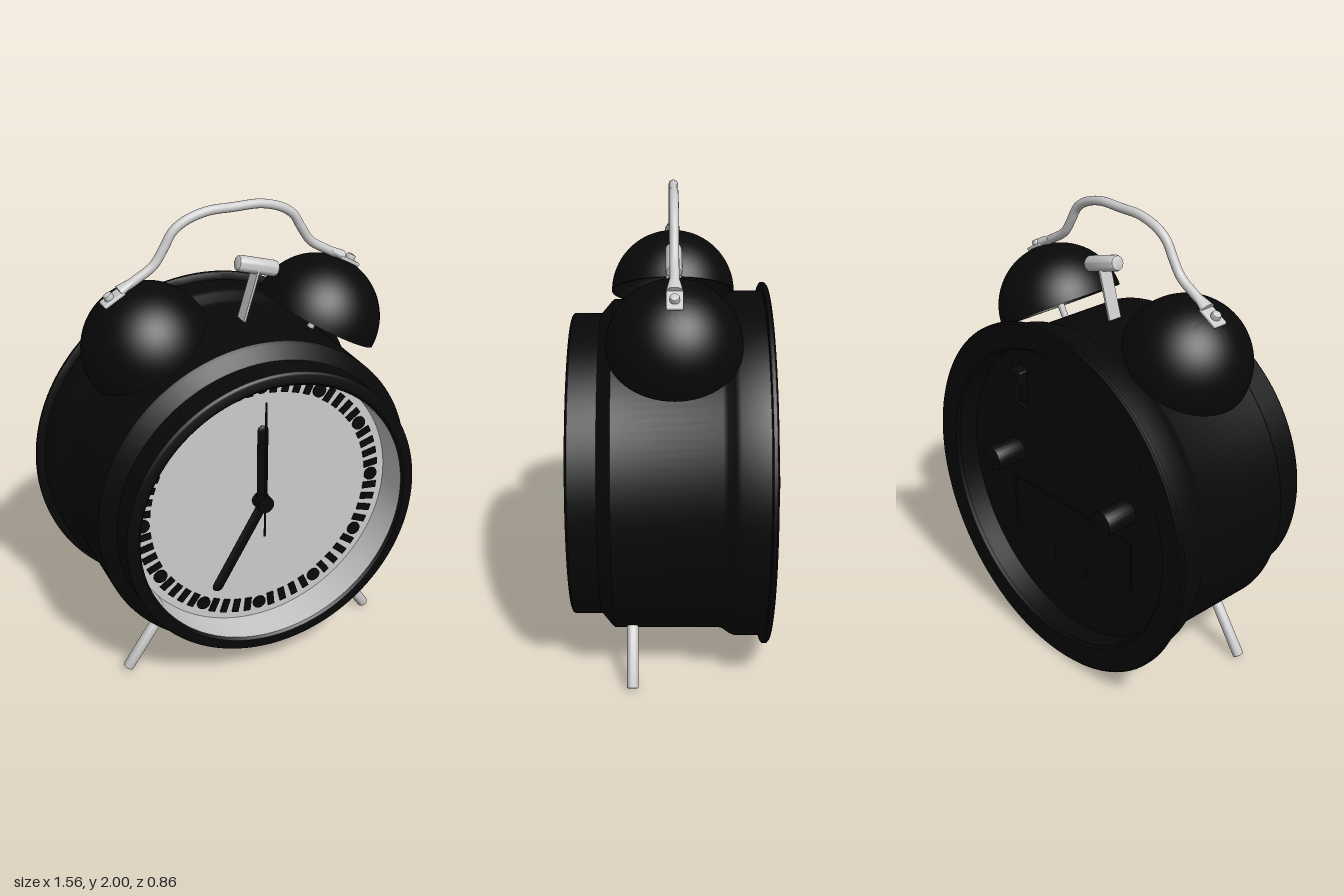
import * as THREE from 'three';
import { toCreasedNormals } from 'three/addons/utils/BufferGeometryUtils.js';
import { RoundedBoxGeometry } from 'three/addons/geometries/RoundedBoxGeometry.js';

const CENTRE_Y = 0.785;
const DIAL_Z = 0.27;
const PANEL_Z = -0.288;

export function createModel() {
  const model = new THREE.Group();
  model.name = 'alarmClock';
  const grey = new THREE.MeshStandardMaterial({ color: 0xcccccc });
  const black = new THREE.MeshStandardMaterial({ color: 0x080808 });

  function add(parent, name, geometry, material, x = 0, y = 0, z = 0, rotZ = 0) {
    const mesh = new THREE.Mesh(geometry, material);
    mesh.name = name;
    mesh.position.set(x, y, z);
    mesh.rotation.z = rotZ;
    parent.add(mesh);
    return mesh;
  }
  const lathe = (pts, segments = 96) => toCreasedNormals(
    new THREE.LatheGeometry(pts.map(([r, h]) => new THREE.Vector2(r, h)), segments), 0.6);
  // Lathe and cylinder turned so that their axis runs along z
  const latheZ = (pts, segments) => lathe(pts, segments).rotateX(Math.PI / 2);
  const discZ = (r, depth, segments = 32) =>
    new THREE.CylinderGeometry(r, r, depth, segments).rotateX(Math.PI / 2);
  // Short rod along y with softly chamfered ends
  const rod = (r, length, bevel = 0.008) => lathe([
    [0, -length / 2], [r - bevel, -length / 2], [r - bevel * 0.3, -length / 2 + bevel * 0.3],
    [r, -length / 2 + bevel], [r, length / 2 - bevel], [r - bevel * 0.3, length / 2 - bevel * 0.3],
    [r - bevel, length / 2], [0, length / 2]], 24);

  // Everything round is placed about the clock's axis
  const clock = new THREE.Group();
  clock.name = 'clock';
  clock.position.y = CENTRE_Y;
  model.add(clock);

  // Case: recessed back, back flange, stepped drum and front rim
  add(clock, 'case', latheZ([
    [0, -0.26], [0.66, -0.26], [0.662, -0.38], [0.672, -0.393], [0.772, -0.395], [0.78, -0.388],
    [0.78, -0.374], [0.774, -0.37], [0.745, -0.37], [0.745, -0.255], [0.737, -0.235], [0.716, -0.205],
    [0.71, -0.185], [0.71, 0.25], [0.7, 0.262], [0.655, 0.3], [0.65, 0.306], [0.65, 0.42],
    [0.645, 0.427], [0.638, 0.43], [0.602, 0.43], [0.592, 0.42]], 128), black);
  add(clock, 'innerWall', latheZ([[0.592, 0.42], [0.592, DIAL_Z]], 128), grey);
  add(clock, 'dial', new THREE.CircleGeometry(0.595, 96), grey, 0, 0, DIAL_Z);

  // Minute marks: a dot every fifth, short bars between
  const dot = discZ(0.03, 0.008);
  const bar = new THREE.BoxGeometry(0.03, 0.064, 0.008);
  for (let i = 0; i < 60; i++) {
    const a = (i / 60) * Math.PI * 2;
    const hour = i % 5 === 0;
    add(clock, hour ? 'hourDot' : 'minuteMark', hour ? dot : bar, black,
      Math.sin(a) * 0.528, Math.cos(a) * 0.528, DIAL_Z + 0.002, -a);
  }

  // Hands, each given by its tail, tip, half width, height and turn
  function hand(name, tail, tip, r, z, angle) {
    const geometry = new THREE.CapsuleGeometry(r, tip - tail - 2 * r, 6, 16);
    geometry.scale(1, 1, 0.4).translate(0, (tip + tail) / 2, 0);
    add(clock, name, geometry, black, 0, 0, z, angle);
  }
  hand('alarmHand', -0.02, 0.18, 0.01, DIAL_Z + 0.01, -0.1);
  hand('shortHand', -0.03, 0.36, 0.025, DIAL_Z + 0.02, 0);
  hand('longHand', -0.03, 0.445, 0.025, DIAL_Z + 0.035, THREE.MathUtils.degToRad(150));
  hand('secondHand', -0.16, 0.48, 0.005, DIAL_Z + 0.05, 0);
  add(clock, 'handHub', discZ(0.037, 0.06), black, 0, 0, DIAL_Z + 0.03);

  // Bell profile: inner dome down to the rim, then outer dome up
  const bellProfile = [];
  for (let i = 0; i <= 24; i++) {
    const a = (i / 24) * Math.PI / 2;
    bellProfile.push([Math.sin(a) * 0.258, Math.cos(a) * 0.258]);
  }
  for (let i = 0; i <= 24; i++) {
    const a = (i / 24) * Math.PI / 2;
    bellProfile.push([Math.cos(a) * 0.27, Math.sin(a) * 0.27]);
  }
  const bell = lathe(bellProfile, 64);
  // Socket flaring from the round handle to the flat tab
  const socket = new THREE.CylinderGeometry(0.02, 0.033, 0.06, 24).scale(0.65, 1, 1);

  for (const side of [-1, 1]) {
    const label = side > 0 ? 'left' : 'right';

    // Bell with its post, handle tab and bolt, along one radial axis
    const arm = new THREE.Group();
    arm.name = label + 'BellGroup';
    arm.rotation.z = -side * Math.PI / 6;
    clock.add(arm);
    add(arm, label + 'Bell', bell, black, 0, 0.762, 0);
    add(arm, label + 'BellPost', rod(0.015, 0.355, 0.003), grey, 0, 0.857, 0);
    add(arm, label + 'HandleTab', new RoundedBoxGeometry(0.1, 0.016, 0.066, 3, 0.007), grey,
      side * 0.002, 1.036, 0);
    add(arm, label + 'HandleSocket', socket, grey, -side * 0.065, 1.043, 0, side * Math.PI / 2);
    add(arm, label + 'Bolt', rod(0.02, 0.03, 0.008), grey, side * 0.012, 1.05, 0);

    // Splayed foot
    const top = new THREE.Vector2(side * 0.425, 0.255);
    const foot = new THREE.Vector2(side * 0.587, 0.016);
    const run = foot.clone().sub(top);
    add(model, label + 'Leg', rod(0.024, run.length(), 0.006), grey,
      (top.x + foot.x) / 2, (top.y + foot.y) / 2, 0.175, Math.atan2(-run.x, run.y));

    // Setting knob on the back
    add(clock, label + 'Knob', rod(0.055, 0.15, 0.008).rotateX(Math.PI / 2), black,
      side * 0.355, 0.07, -0.355);
  }

  // Carrying handle: mirrored path over both bells
  const half = [[0.465, 1.718], [0.42, 1.742], [0.345, 1.79], [0.3, 1.855], [0.265, 1.913],
    [0.215, 1.95], [0.12, 1.979]];
  const path = [...half.map(([x, y]) => [-x, y]), [0, 1.981], ...half.slice().reverse()];
  const curve = new THREE.CatmullRomCurve3(path.map(([x, y]) => new THREE.Vector3(x, y, 0)));
  add(model, 'handle', new THREE.TubeGeometry(curve, 96, 0.019, 16), grey);

  // Hammer: flat stem and round head
  const hammer = new THREE.Group();
  hammer.name = 'hammer';
  hammer.position.set(0.102, 1.718, 0);
  hammer.rotation.z = -0.29;
  model.add(hammer);
  add(hammer, 'hammerHead', rod(0.034, 0.188, 0.014).rotateZ(Math.PI / 2), grey);
  add(hammer, 'hammerStem', new THREE.BoxGeometry(0.01, 0.26, 0.062), grey, 0, -0.13, 0);

  // Recessed back panel with cut-outs for the battery cover and switch
  const rect = (x, y, w, h) => new THREE.Path([
    [x - w / 2, y - h / 2], [x + w / 2, y - h / 2], [x + w / 2, y + h / 2], [x - w / 2, y + h / 2],
  ].map(([px, py]) => new THREE.Vector2(px, py)));
  const panel = new THREE.Shape().absarc(0, 0, 0.662, 0, Math.PI * 2);
  panel.holes.push(rect(0, -0.2, 0.77, 0.26), rect(0.315, 0.4, 0.09, 0.21));
  add(clock, 'backPanel',
    new THREE.ExtrudeGeometry(panel, { depth: 0.03, bevelEnabled: false, curveSegments: 64 }),
    black, 0, 0, PANEL_Z);
  add(clock, 'batteryCover', new THREE.BoxGeometry(0.75, 0.24, 0.03), black, 0, -0.2, PANEL_Z + 0.017);
  add(clock, 'coverLatch', new THREE.BoxGeometry(0.2, 0.07, 0.03), black, 0, -0.35, PANEL_Z + 0.003);
  add(clock, 'alarmSwitch', new RoundedBoxGeometry(0.075, 0.06, 0.06, 2, 0.008), black,
    0.315, 0.445, PANEL_Z);

  return model;
}
